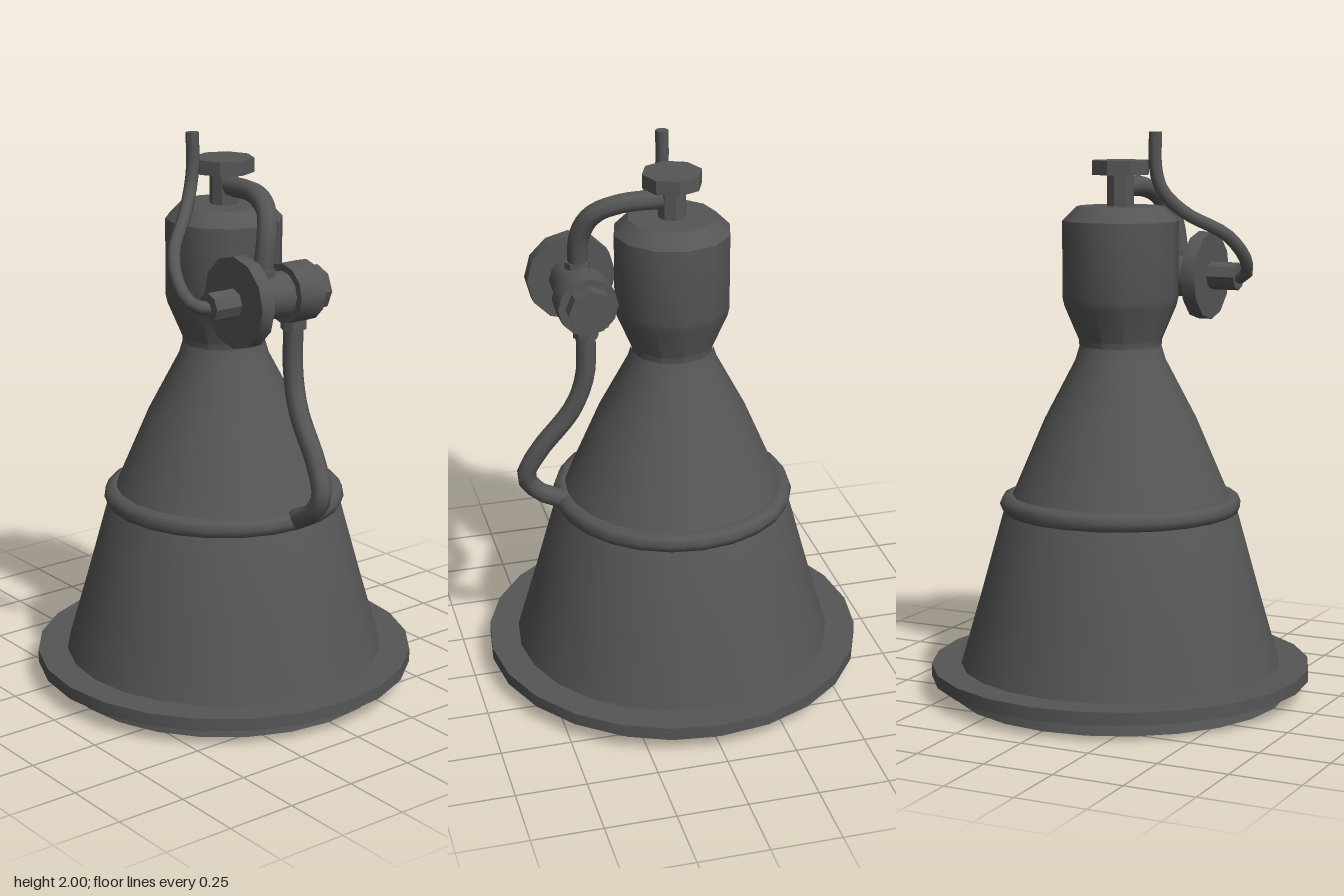
import * as THREE from 'three';
import { toCreasedNormals } from 'three/addons/utils/BufferGeometryUtils.js';

export function createModel() {
  const lamp = new THREE.Group();
  lamp.name = 'pendantLamp';
  const metal = new THREE.MeshStandardMaterial({ color: 0x565656 });
  metal.name = 'dark grey metal';

  const add = (name, geometry, crease = 0.6) => {
    const mesh = new THREE.Mesh(crease ? toCreasedNormals(geometry, crease) : geometry, metal);
    mesh.name = name;
    lamp.add(mesh);
    return mesh;
  };
  const lathe = (name, profile, sides) =>
    add(name, new THREE.LatheGeometry(profile.map(([r, y]) => new THREE.Vector2(r, y)), sides));
  // upright cylinder between two heights
  const post = (name, r, y0, y1, sides, x = 0, z = 0) =>
    add(name, new THREE.CylinderGeometry(r, r, y1 - y0, sides).translate(x, (y0 + y1) / 2, z));
  // cylinder lying along x on the axis of the junction
  const axisY = 1.48, axisZ = 0.32;
  const barrel = (name, r, x0, x1, sides) =>
    add(name, new THREE.CylinderGeometry(r, r, x1 - x0, sides)
      .rotateZ(Math.PI / 2).translate((x0 + x1) / 2, axisY, axisZ));
  const cable = (name, r, points) => {
    const curve = new THREE.CatmullRomCurve3(points.map(p => new THREE.Vector3(...p)));
    add(name, new THREE.TubeGeometry(curve, 20, r, 8), 0);
  };

  // Hollow shade: down the inside, across the lip, up the outside
  lathe('shade', [
    [0, 1.2], [0.12, 1.18], [0.24, 1.0], [0.395, 0.65], [0.475, 0.36], [0.57, 0],
    [0.6, 0], [0.575, 0.1], [0.5, 0.36], [0.42, 0.65], [0.385, 0.72],
    [0.27, 0.99], [0.16, 1.2], [0.145, 1.25],
  ], 24);

  // Flange around the mouth, a closed rectangular ring
  lathe('mouthFlange', [
    [0.575, 0.06], [0.68, 0.06], [0.68, 0.105], [0.565, 0.105], [0.575, 0.06],
  ], 24);

  // Rounded band around the middle
  add('middleBand', new THREE.TorusGeometry(0.395, 0.036, 8, 24)
    .rotateX(Math.PI / 2).translate(0, 0.686, 0), 0);

  // Socket housing, stem and cap
  lathe('socketHousing', [
    [0.145, 1.23], [0.147, 1.27], [0.198, 1.39], [0.205, 1.42], [0.205, 1.69], [0.155, 1.74], [0, 1.74],
  ], 12);
  post('stem', 0.05, 1.73, 1.86, 8);
  post('topCap', 0.105, 1.85, 1.9, 8);

  // Cable junction beside the housing
  barrel('junctionInlet', 0.05, -0.315, -0.2, 8);
  barrel('junctionDisc', 0.158, -0.21, -0.158, 12);
  barrel('junctionBody', 0.08, -0.17, 0.01, 12);
  barrel('junctionCollar', 0.105, 0, 0.105, 12);
  barrel('junctionEnd', 0.08, 0.1, 0.155, 8);
  post('upperCableCollar', 0.045, 1.53, 1.575, 8, -0.083, 0.315);
  post('lowerCableCollar', 0.045, 1.35, 1.4, 8, 0.052, 0.32);

  // Cables
  cable('upperCable', 0.036, [
    [0, 1.805, 0.03], [-0.005, 1.8, 0.18], [-0.03, 1.76, 0.27], [-0.06, 1.68, 0.31], [-0.083, 1.54, 0.315],
  ]);
  cable('lowerCable', 0.035, [
    [0.052, 1.38, 0.32], [0.048, 1.2, 0.325], [0.037, 1.07, 0.37], [0.018, 0.91, 0.49],
    [0.005, 0.81, 0.535], [0, 0.74, 0.49], [0, 0.695, 0.4],
  ]);
  cable('supplyCable', 0.023, [
    [-0.3, 1.475, 0.32], [-0.355, 1.49, 0.29], [-0.375, 1.55, 0.24], [-0.335, 1.64, 0.16],
    [-0.22, 1.72, 0.06], [-0.155, 1.8, 0.01], [-0.135, 1.88, 0], [-0.135, 2.0, 0],
  ]);
  post('supplyCableEnd', 0.023, 1.96, 2.0, 8, -0.135, 0);

  return lamp;
}
